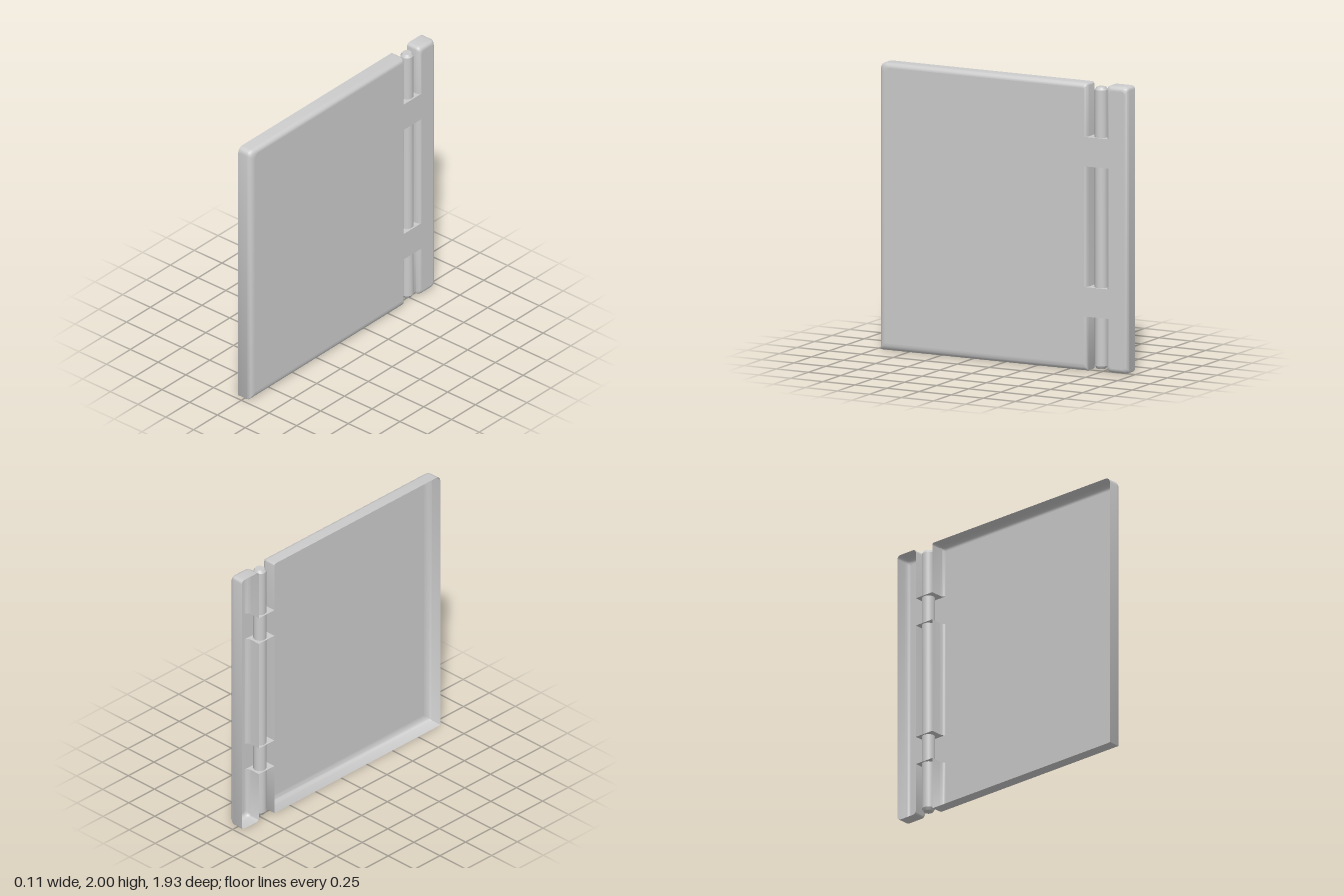
import * as THREE from 'three';
import { mergeGeometries, toCreasedNormals } from 'three/addons/utils/BufferGeometryUtils.js';

const HALF = 0.056;   // half depth of the shell
const FILLET = 0.035; // depth of the rounded front edge
const STEPS = 6;

// Each corner: [u, v, inset of the edge that follows, corner radius]; solid lies left of the path
const OUTER = [
  [-0.967, 0, 0.05, 0.006], [0.65, 0, 0.02, 0.006],
  [0.65, 0.38, 0, 0], [0.80, 0.38, 0.025, 0],
  [0.80, 0.005, 0.03, 0.025], [0.967, 0.005, 0.02, 0.025],
  [0.967, 2, 0.03, 0.025], [0.80, 2, 0.025, 0.025],
  [0.80, 1.63, 0, 0], [0.65, 1.63, 0.02, 0],
  [0.65, 2, 0.03, 0.015], [-0.967, 2, 0.045, 0.04],
];
const WINDOW = [
  [0.65, 0.585, 0.02, 0], [0.65, 1.425, 0, 0],
  [0.80, 1.425, 0.025, 0], [0.80, 0.585, 0, 0],
];

// Outline with every edge moved inwards by its own inset times k
function outline(corners, k) {
  const n = corners.length;
  const normal = (i) => {
    const a = corners[i], b = corners[(i + 1) % n];
    return new THREE.Vector2(a[1] - b[1], b[0] - a[0]).normalize();
  };
  const points = [];
  corners.forEach(([u, v, inset, r], i) => {
    const j = (i + n - 1) % n;
    const np = normal(j), nn = normal(i);
    const p = new THREE.Vector2(u, v)
      .addScaledVector(np, corners[j][2] * k)
      .addScaledVector(nn, inset * k);
    if (!r) { points.push(p); return; }
    p.addScaledVector(np, r).addScaledVector(nn, r);
    for (let s = 0; s <= 4; s++) {
      const a = s / 4 * Math.PI / 2;
      points.push(p.clone()
        .addScaledVector(np, -r * Math.cos(a))
        .addScaledVector(nn, -r * Math.sin(a)));
    }
  });
  return points;
}

// Side wall that rolls over into the front face
function wall(corners) {
  const rings = [{ pts: outline(corners, 0), z: -HALF }];
  for (let s = 0; s <= STEPS; s++) {
    const a = s / STEPS * Math.PI / 2;
    rings.push({ pts: outline(corners, 1 - Math.cos(a)), z: HALF - FILLET + FILLET * Math.sin(a) });
  }
  const n = rings[0].pts.length, pos = [], index = [];
  rings.forEach(({ pts, z }, r) => pts.forEach((p, i) => {
    pos.push(p.x, p.y, z);
    if (r === 0) return;
    const j = (i + 1) % n, lo = (r - 1) * n, hi = r * n;
    index.push(lo + i, lo + j, hi + j, lo + i, hi + j, hi + i);
  }));
  const g = new THREE.BufferGeometry();
  g.setAttribute('position', new THREE.Float32BufferAttribute(pos, 3));
  g.setIndex(index);
  return toCreasedNormals(g, 0.7);
}

// Flat front face with the central window cut out
function face() {
  const shape = new THREE.Shape(outline(OUTER, 1));
  shape.holes.push(new THREE.Path(outline(WINDOW, 1)));
  const g = new THREE.ShapeGeometry(shape).toNonIndexed();
  g.deleteAttribute('uv');
  return g.translate(0, 0, HALF);
}

export function createModel() {
  const model = new THREE.Group();
  model.name = 'hingedPanel';

  // Thin open-backed shell: panel, two bridges and edge strip
  const shell = new THREE.Mesh(
    mergeGeometries([wall(OUTER), wall(WINDOW), face()]).rotateY(Math.PI / 2),
    new THREE.MeshStandardMaterial({ color: 0xcccccc, side: THREE.DoubleSide }),
  );
  shell.name = 'panelShell';
  model.add(shell);

  // Hinge pin with chamfered ends
  const profile = [[0, 0.02], [0.033, 0.02], [0.045, 0.04], [0.045, 1.96], [0.033, 1.98], [0, 1.98]]
    .map(([r, y]) => new THREE.Vector2(r, y));
  const pin = new THREE.Mesh(
    toCreasedNormals(new THREE.LatheGeometry(profile, 24), 0.45),
    new THREE.MeshStandardMaterial({ color: 0xcccccc }),
  );
  pin.name = 'hingePin';
  pin.position.z = -0.735;
  model.add(pin);

  return model;
}
